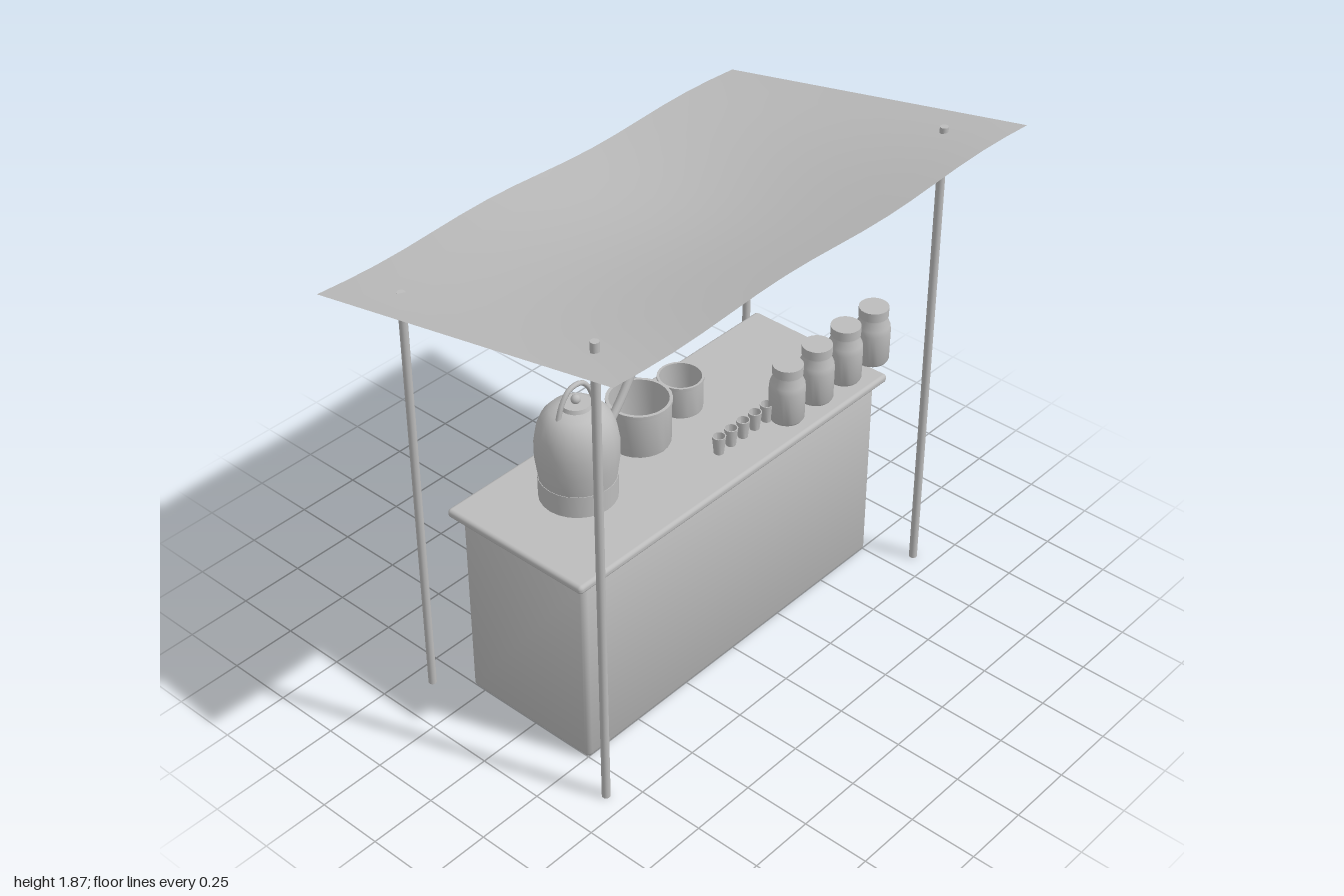
import * as THREE from 'three';
import { toCreasedNormals } from 'three/addons/utils/BufferGeometryUtils.js';
import { RoundedBoxGeometry } from 'three/addons/geometries/RoundedBoxGeometry.js';

const COUNTER_Y = 0.798; // height of the worktop surface

const grey = new THREE.MeshStandardMaterial({ color: 0xbcbcbc, side: THREE.DoubleSide });
grey.name = 'plain grey';

export function createModel() {
  const model = new THREE.Group();
  model.name = 'teaStall';

  const add = (name, geometry, x = 0, y = 0, z = 0, parent = model) => {
    const mesh = new THREE.Mesh(geometry, grey);
    mesh.name = name;
    mesh.position.set(x, y, z);
    parent.add(mesh);
    return mesh;
  };
  // Turned shape from [radius, height] pairs, listed from the bottom up
  const turned = (profile, sides = 24) => toCreasedNormals(
    new THREE.LatheGeometry(profile.map(([r, y]) => new THREE.Vector2(r, y)), sides), 0.7);
  const group = (name, x, z) => {
    const g = new THREE.Group();
    g.name = name;
    g.position.set(x, COUNTER_Y, z);
    model.add(g);
    return g;
  };

  // Counter body, with normals softened towards its corners
  const body = new RoundedBoxGeometry(1.514, 0.765, 0.56, 2, 0.018);
  const p = body.attributes.position, n = body.attributes.normal, v = new THREE.Vector3();
  for (let i = 0; i < p.count; i++) {
    v.fromBufferAttribute(n, i);
    v.x += 0.3 * Math.sign(p.getX(i));
    v.y += 0.3 * Math.sign(p.getY(i));
    v.z += 0.3 * Math.sign(p.getZ(i));
    v.normalize();
    n.setXYZ(i, v.x, v.y, v.z);
  }
  add('counterBody', body, -0.002, 0.3845, -0.02);
  add('counterTop', new RoundedBoxGeometry(1.595, 0.033, 0.617, 3, 0.014), -0.002, 0.7815, -0.022);

  // Cloth canopy: slopes to the back, sags in the middle, ripples along x
  const canopyHeight = (x, z) => 1.738 + 0.193 * z
    - 0.07 * Math.cos(x * Math.PI / 2) * Math.cos(z * Math.PI / 1.28)
    - 0.01 * Math.sin(x * Math.PI * 2);
  const cloth = new THREE.PlaneGeometry(2, 1.28, 16, 10).rotateX(-Math.PI / 2);
  const cp = cloth.attributes.position;
  for (let i = 0; i < cp.count; i++) cp.setY(i, canopyHeight(cp.getX(i), cp.getZ(i)));
  cloth.computeVertexNormals();
  add('canopy', cloth);

  // Four poles, the front pair taller
  for (const [z, height, label] of [[0.42, 1.84, 'front'], [-0.42, 1.642, 'back']]) {
    for (const side of [-1, 1]) {
      add(label + 'Pole', new THREE.CylinderGeometry(0.015, 0.015, height, 10),
        side * 0.843, height / 2, z);
    }
  }

  // Kettle on its burner
  const kettle = group('kettle', -0.443, -0.063);
  add('burner', new THREE.CylinderGeometry(0.136, 0.136, 0.084, 24), 0, 0.042, 0, kettle);
  add('kettleBody', turned([[0, 0.084], [0.134, 0.084], [0.144, 0.16], [0.144, 0.225],
    [0.136, 0.275], [0.118, 0.32], [0.09, 0.35], [0.055, 0.362], [0, 0.364]]), 0, 0, 0, kettle);
  add('kettleLid', new THREE.CylinderGeometry(0.05, 0.056, 0.018, 20), 0, 0.367, 0, kettle);
  add('lidKnob', new THREE.SphereGeometry(0.017, 12, 8), 0, 0.388, 0, kettle);
  const path = pts => new THREE.CatmullRomCurve3(pts.map(([x, y]) => new THREE.Vector3(x, y, 0)));
  add('kettleHandle', new THREE.TubeGeometry(path([[-0.09, 0.325], [-0.066, 0.395], [-0.032, 0.437],
    [0, 0.444], [0.032, 0.437], [0.066, 0.395], [0.09, 0.325]]), 18, 0.009, 8), 0, 0, 0, kettle);
  add('kettleSpout', new THREE.TubeGeometry(path([[0.11, 0.165], [0.155, 0.205], [0.21, 0.268],
    [0.268, 0.35]]), 10, 0.015, 10), 0, 0, 0, kettle);

  // Open pots with a thin rim
  const pot = (r, h) => turned([[0, 0], [r * 0.94, 0], [r * 0.96, 0.008], [r * 0.96, h - 0.012],
    [r, h - 0.012], [r, h], [r * 0.9, h], [r * 0.9, 0.012], [0, 0.012]]);
  add('largePot', pot(0.117, 0.176), -0.083, COUNTER_Y, -0.116);
  add('smallPot', pot(0.084, 0.129), 0.158, COUNTER_Y, -0.141);

  // Row of lidded jars
  for (let i = 0; i < 4; i++) {
    const jar = group('jar', 0.355 + 0.16 * i, 0.18);
    add('jarBody', turned([[0, 0], [0.058, 0], [0.064, 0.01], [0.065, 0.13], [0.062, 0.152],
      [0.05, 0.18], [0.05, 0.195], [0, 0.195]]), 0, 0, 0, jar);
    add('jarLid', new THREE.CylinderGeometry(0.055, 0.055, 0.036, 24), 0, 0.208, 0, jar);
  }

  // Row of small tapered glasses
  for (let i = 0; i < 5; i++) {
    add('glass', turned([[0, 0], [0.018, 0], [0.025, 0.07], [0.021, 0.07], [0.015, 0.008], [0, 0.008]], 14),
      0.041 + 0.063 * i, COUNTER_Y, 0.14);
  }

  return model;
}
